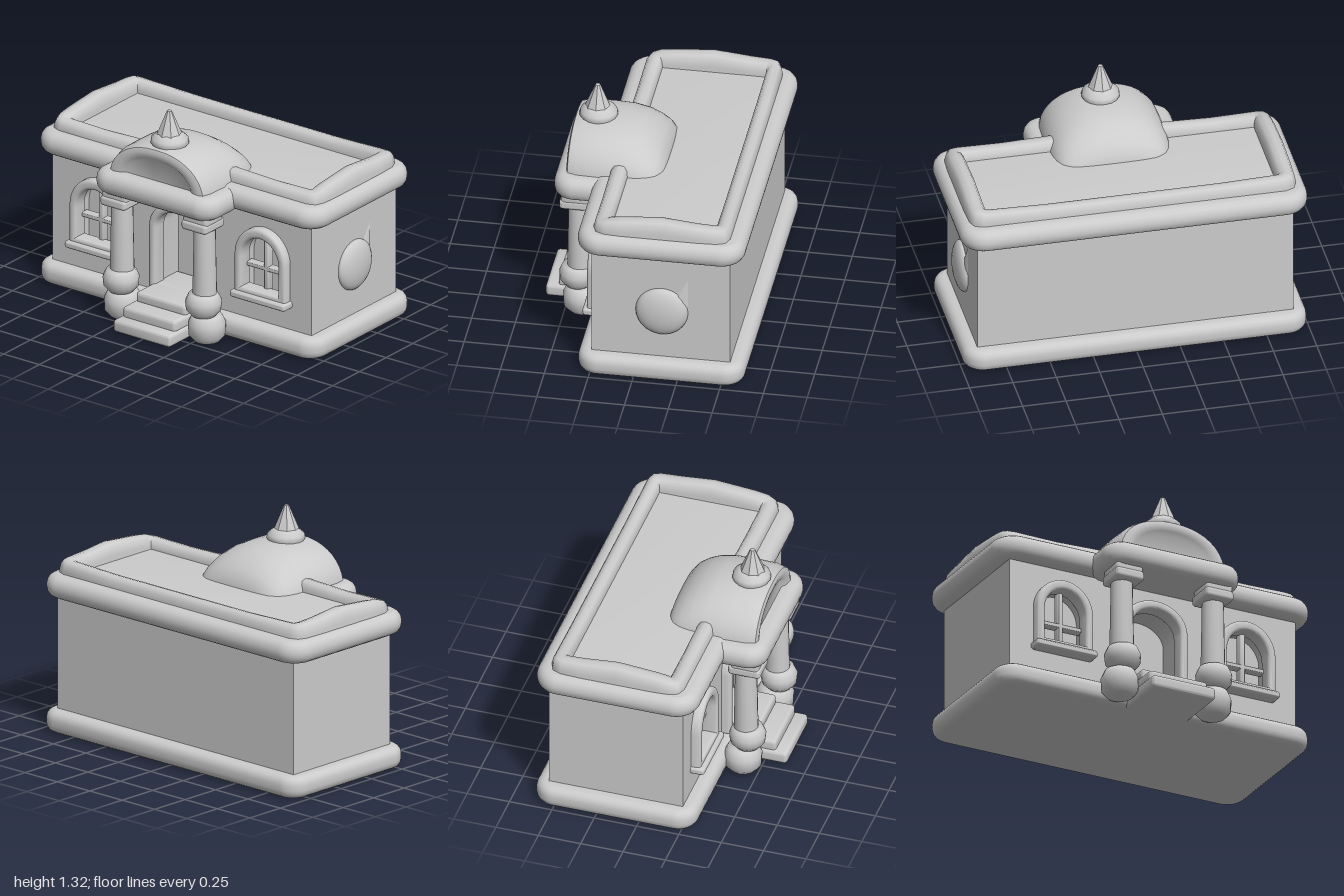
import * as THREE from 'three';
import { toCreasedNormals } from 'three/addons/utils/BufferGeometryUtils.js';
import { RoundedBoxGeometry } from 'three/addons/geometries/RoundedBoxGeometry.js';

const grey = new THREE.MeshStandardMaterial({ color: 0xcccccc });

// Arched outline standing on y0, with an elliptical head of height ry
function arch(path, cx, w, y0, top, ry) {
  path.moveTo(cx - w, y0);
  path.lineTo(cx + w, y0);
  path.lineTo(cx + w, top - ry);
  path.absellipse(cx, top - ry, w, ry, 0, Math.PI, false, 0);
  path.lineTo(cx - w, y0);
  return path;
}

// Plan outline with rounded corners (shape y is -z)
function plan(hx, z0, z1, r) {
  const s = new THREE.Shape(), a = -z1, b = -z0, q = Math.PI / 2;
  s.moveTo(-hx + r, a);
  s.absarc(hx - r, a + r, r, -q, 0, false);
  s.absarc(hx - r, b - r, r, 0, q, false);
  s.absarc(-hx + r, b - r, r, q, 2 * q, false);
  s.absarc(-hx + r, a + r, r, 2 * q, 3 * q, false);
  return s;
}

// Extrude from a to b with rounded edges kept inside those limits
function extrude(shape, a, b, bevel) {
  const g = new THREE.ExtrudeGeometry(shape, {
    depth: b - a - 2 * bevel, bevelEnabled: bevel > 0, bevelThickness: bevel,
    bevelSize: bevel, bevelSegments: 4, curveSegments: 10,
  });
  return g.translate(0, 0, a + bevel);
}

// Skin joining successive rows of points
function loft(rows) {
  const n = rows[0].length, idx = [];
  for (let i = 1; i < rows.length; i++) {
    for (let j = 1; j < n; j++) {
      const k = i * n + j, m = k - n;
      idx.push(m - 1, k - 1, m, m, k - 1, k);
    }
  }
  const g = new THREE.BufferGeometry();
  g.setAttribute('position', new THREE.Float32BufferAttribute(rows.flat(2), 3));
  g.setIndex(idx);
  return g;
}

// Parapet: rounded section swept round the roof, open at the front for the dome
function parapetGeometry() {
  // outer x, outer z, inner x, inner z, top height; right half from front to back
  const half = [[0.3, 0.24, 0.3, 0.14, 1], [0.6, 0.24, 0.6, 0.14, 0.99], [0.87, 0.24, 0.83, 0.14, 0.995],
    [0.92, 0.22, 0.835, 0.14, 1], [0.94, 0.17, 0.835, 0.135, 1.01], [0.945, 0.08, 0.835, 0.08, 1.02],
    [0.945, -0.15, 0.835, -0.15, 1.04], [0.945, -0.35, 0.835, -0.35, 1.02], [0.94, -0.47, 0.835, -0.445, 1.015],
    [0.92, -0.52, 0.835, -0.45, 1.015], [0.87, -0.54, 0.83, -0.45, 1.01], [0.5, -0.54, 0.5, -0.45, 1]];
  const mirrored = half.map(([a, b, c, d, t]) => [-a, b, -c, d, t]).reverse();
  const section = [[0, 0], [0, 0.6], [0.06, 0.8], [0.2, 0.95], [0.5, 1], [0.8, 0.95], [0.95, 0.8], [1, 0.6], [1, 0]];
  return loft([...half, ...mirrored].map(([ox, oz, ix, iz, top]) => section.map(([t, f]) =>
    [ox + (ix - ox) * t, 0.86 + (top - 0.86) * f, oz + (iz - oz) * t])));
}

// Dome: arches from the sunken front panel to the rounded back
function domeGeometry() {
  const stations = [[0.465, 0.001, 0.001], [0.465, 0.23, 0.175], [0.485, 0.255, 0.195], [0.495, 0.3, 0.23],
    [0.485, 0.33, 0.252], [0.43, 0.345, 0.265], [0.3, 0.35, 0.265], [0.19, 0.35, 0.26], [0.1, 0.345, 0.235],
    [0.04, 0.335, 0.2], [-0.01, 0.315, 0.16], [-0.045, 0.28, 0.11], [-0.06, 0.24, 0.05], [-0.06, 0.001, 0.001]];
  return loft(stations.map(([z, w, h]) => Array.from({ length: 21 }, (_, j) => {
    const t = (j / 20) * Math.PI, c = Math.cos(t);
    return [Math.sign(c) * Math.abs(c) ** 0.9 * w, 0.87 + Math.max(0, Math.sin(t)) ** 0.9 * h, z];
  })));
}

export function createModel() {
  const model = new THREE.Group();
  const add = (name, g, x = 0, y = 0, z = 0, crease = 0.7) => {
    const m = new THREE.Mesh(toCreasedNormals(g, crease), grey);
    m.name = name;
    m.position.set(x, y, z);
    model.add(m);
    return m;
  };
  const box = (name, x0, x1, y0, y1, z0, z1, r = 0.02) => add(name,
    new RoundedBoxGeometry(x1 - x0, y1 - y0, z1 - z0, 3, r),
    (x0 + x1) / 2, (y0 + y1) / 2, (z0 + z1) / 2);
  const slab = (name, hx, z0, z1, y0, y1, r, b, hole) => {
    const s = plan(hx - b, z0 + b, z1 - b, r);
    if (hole) s.holes.push(hole);
    return add(name, extrude(s, y0, y1, b).rotateX(-Math.PI / 2));
  };

  // Main block, its top forming the roof deck, and front wall with openings
  add('body', new THREE.BoxGeometry(1.82, 0.825, 0.605), 0, 0.4625, -0.2425);
  const wall = new THREE.Shape();
  wall.moveTo(-0.91, 0.05);
  wall.lineTo(0.91, 0.05);
  wall.lineTo(0.91, 0.875);
  wall.lineTo(-0.91, 0.875);
  wall.holes.push(arch(new THREE.Path(), 0, 0.165, 0.18, 0.675, 0.13));
  for (const s of [-1, 1]) wall.holes.push(arch(new THREE.Path(), s * 0.58, 0.145, 0.3, 0.67, 0.15));
  add('frontWall', extrude(wall, 0.06, 0.245, 0));

  // Plinth, cornice and parapet
  slab('plinth', 0.99, -0.625, 0.325, 0.01, 0.14, 0.07, 0.05);
  slab('cornice', 1, -0.625, 0.33, 0.8, 0.935, 0.08, 0.06, plan(0.95, -0.55, 0.255, 0.05));
  add('parapet', parapetGeometry(), 0, 0, 0, 0.9);

  // Windows with surround, sill, panes and glazing bars
  for (const s of [-1, 1]) {
    const x = s * 0.58;
    const f = arch(new THREE.Shape(), x, 0.16, 0.29, 0.7, 0.17);
    f.holes.push(arch(new THREE.Path(), x, 0.15, 0.32, 0.68, 0.16));
    add('windowSurround', extrude(f, 0.2, 0.3, 0.02));
    add('windowPane', new THREE.BoxGeometry(0.32, 0.4, 0.08), x, 0.48, 0.11);
    box('windowSill', x - 0.195, x + 0.195, 0.27, 0.315, 0.2, 0.325);
    box('windowMullion', x - 0.016, x + 0.016, 0.3, 0.67, 0.18, 0.235, 0.01);
    box('windowCrossbar', x - 0.14, x + 0.14, 0.445, 0.475, 0.18, 0.235, 0.01);
  }

  // Doorway surround and steps
  const d = arch(new THREE.Shape(), 0, 0.18, 0.17, 0.7, 0.15);
  d.holes.push(arch(new THREE.Path(), 0, 0.17, 0.18, 0.685, 0.14));
  add('doorSurround', extrude(d, 0.2, 0.3, 0.02));
  box('bottomStep', -0.2, 0.2, 0.01, 0.085, 0.2, 0.63);
  box('middleStep', -0.185, 0.185, 0.07, 0.145, 0.2, 0.56);
  box('topStep', -0.175, 0.175, 0.13, 0.2, 0.06, 0.45);

  // Porch columns on bulbous bases
  const lathe = (pts, n = 16) => new THREE.LatheGeometry(pts.map(([a, c]) => new THREE.Vector2(a, c)), n);
  for (const s of [-1, 1]) {
    add('columnFoot', lathe([[0, 0.01], [0.075, 0.015], [0.105, 0.05], [0.108, 0.12],
      [0.085, 0.17], [0, 0.19]]), s * 0.295, 0, 0.405, 1);
    add('columnBulb', lathe([[0, 0.17], [0.07, 0.175], [0.1, 0.21], [0.105, 0.26],
      [0.085, 0.305], [0, 0.32]]), s * 0.29, 0, 0.43, 1);
    add('columnShaft', lathe([[0.07, 0.29], [0.066, 0.5], [0.062, 0.73]]), s * 0.29, 0, 0.42);
    box('columnCapital', s * 0.285 - 0.088, s * 0.285 + 0.088, 0.705, 0.765, 0.335, 0.525);
    box('columnAbacus', s * 0.285 - 0.085, s * 0.285 + 0.085, 0.74, 0.81, 0.35, 0.515);
  }
  slab('porchEntablature', 0.425, 0.2, 0.56, 0.785, 0.925, 0.06, 0.06);
  add('dome', domeGeometry(), 0, 0, 0, 0.9);

  // Finial
  add('finialBase', lathe([[0.09, 1.1], [0.11, 1.135], [0.105, 1.16], [0.07, 1.19], [0, 1.195]]), 0, 0, 0.36, 1);
  add('finialSpike', lathe([[0.078, 1.17], [0.045, 1.25], [0.014, 1.325], [0, 1.33]], 8), 0, 0, 0.365, 0.5);

  // Round boss on the left side wall, with a small pointed fin behind it
  add('sideBoss', new THREE.SphereGeometry(0.15, 20, 14).scale(0.36, 1, 1), 0.91, 0.44, -0.155, 1);
  const fin = add('bossFin', new THREE.ConeGeometry(0.06, 0.2, 6).scale(0.35, 1, 1), 0.91, 0.56, -0.275);
  fin.rotation.x = -0.3;

  return model;
}
